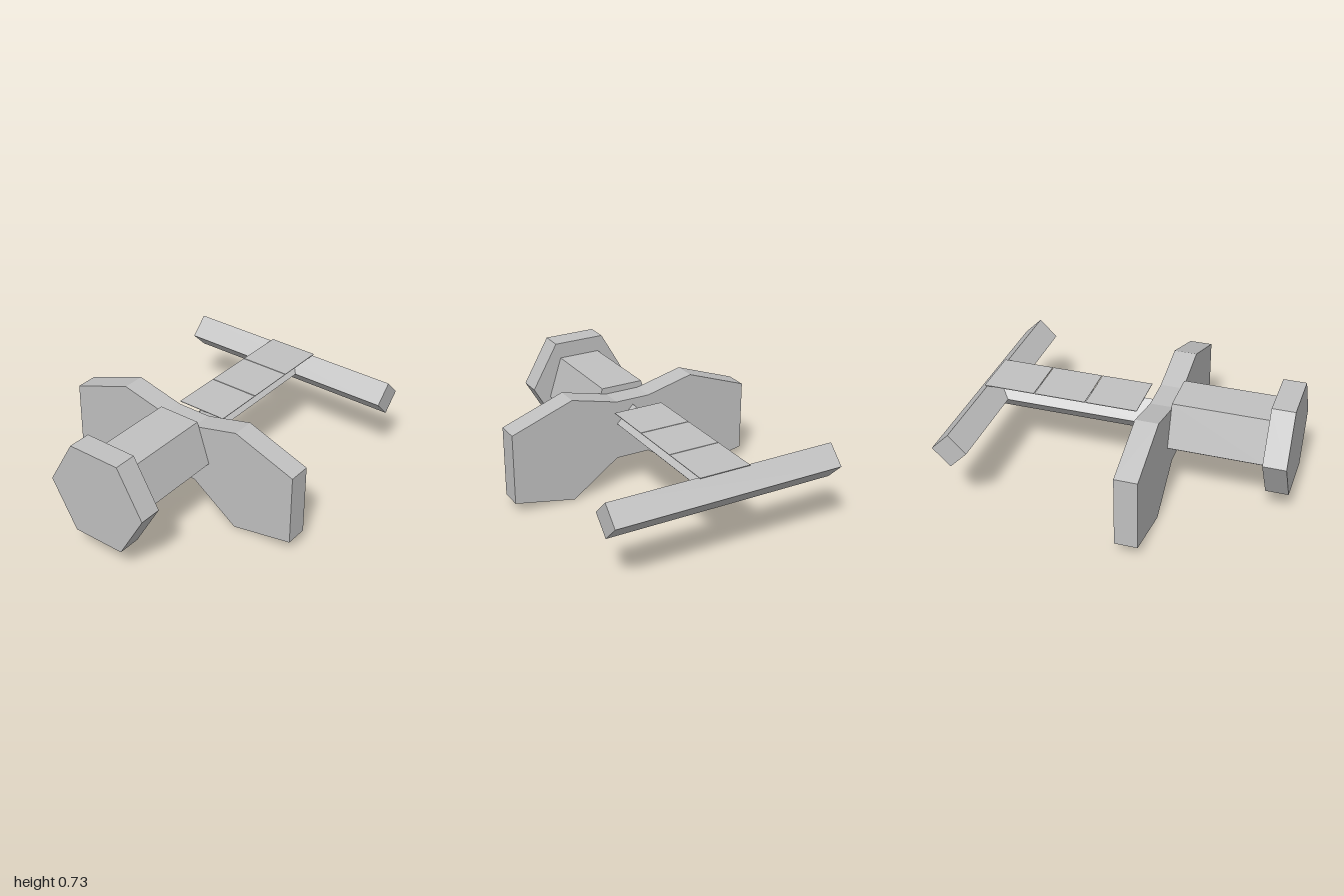
import * as THREE from 'three';

export function createModel() {
  const group = new THREE.Group();
  const grey = new THREE.MeshStandardMaterial({ color: 0xc0c0c0 });
  const axisY = 0.445;

  function add(name, geometry, x, y, z) {
    const faceted = geometry.index ? geometry.toNonIndexed() : geometry;
    faceted.computeVertexNormals();
    const mesh = new THREE.Mesh(faceted, grey);
    mesh.name = name;
    mesh.position.set(x, y, z);
    group.add(mesh);
    return mesh;
  }

  // Faceted prism lying along z between z0 and z1
  function prism(name, radius, sides, z0, z1, turn = 0) {
    const g = new THREE.CylinderGeometry(radius, radius, z1 - z0, sides, 1, false, turn);
    return add(name, g.rotateX(Math.PI / 2), 0, axisY, (z0 + z1) / 2);
  }

  // Hexagonal nose, pentagonal front body and square rear boom
  prism('nose', 0.333, 6, 0.86, 1, Math.PI / 6);
  prism('frontBody', 0.231, 5, 0.27, 0.86);
  prism('rearBoom', 0.109, 4, -0.89, 0.13);

  // Mirrored wing plate
  const half = [[0.11, 0.214], [0.41, 0.0], [0.803, 0.075], [0.803, 0.523], [0.41, 0.666], [0.11, 0.592]];
  const outline = [...half, ...half.map(([x, y]) => [-x, y]).reverse()];
  const wingShape = new THREE.Shape(outline.map(([x, y]) => new THREE.Vector2(x, y)));
  add('wings', new THREE.ExtrudeGeometry(wingShape, { depth: 0.14, bevelEnabled: false }), 0, 0, 0.131);

  // Square tail bar standing on its edge
  const tail = new THREE.CylinderGeometry(0.108, 0.108, 1.453, 4, 1);
  add('tailBar', tail.rotateZ(Math.PI / 2), 0, axisY, -0.892);

  // Three thin deck plates along the top of the boom
  for (let i = 0; i < 3; i++) {
    add('deckPlate' + (i + 1), new THREE.BoxGeometry(0.323, 0.004, 0.32), 0, 0.555, -0.098 - i * 0.325);
  }

  return group;
}
